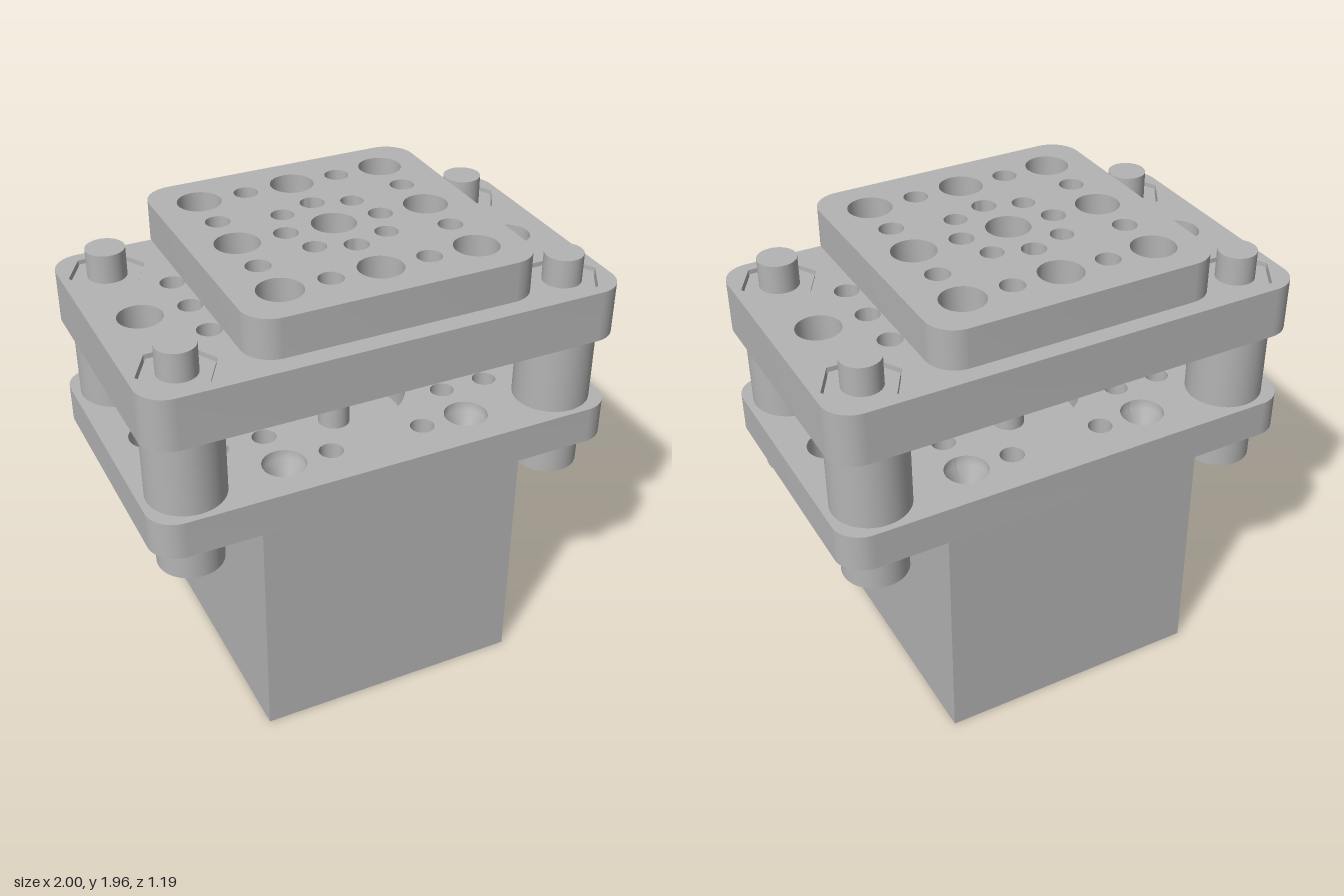
import * as THREE from 'three';
import { toCreasedNormals } from 'three/addons/utils/BufferGeometryUtils.js';

const SIGNS = [-1, 1];
const CORNERS = SIGNS.flatMap((sx) => SIGNS.map((sz) => [sx, sz]));

export function createModel() {
  const model = new THREE.Group();
  const grey = new THREE.MeshStandardMaterial({ color: 0xb4b4b4 });
  grey.name = 'machined grey';

  function add(name, geometry, x = 0, y = 0, z = 0) {
    const mesh = new THREE.Mesh(geometry, grey);
    mesh.name = name;
    mesh.position.set(x, y, z);
    model.add(mesh);
  }

  // Upright cylinder between two heights
  function rod(name, r, y0, y1, x = 0, z = 0) {
    add(name, new THREE.CylinderGeometry(r, r, y1 - y0, 40), x, (y0 + y1) / 2, z);
  }

  // Hole lists are [x, z, radius]
  function circle(x, z, r) {
    return new THREE.Path().absarc(x, z, r, 0, Math.PI * 2, true);
  }

  function hexagon(x, z, r) {
    const points = [];
    for (let i = 0; i < 6; i++) {
      const a = (-i * Math.PI) / 3;
      points.push(new THREE.Vector2(x + r * Math.cos(a), z + r * Math.sin(a)));
    }
    return new THREE.Path(points);
  }

  function roundedRect(w, d, r) {
    const s = new THREE.Shape();
    s.absarc(w - r, d - r, r, 0, Math.PI / 2);
    s.absarc(-w + r, d - r, r, Math.PI / 2, Math.PI);
    s.absarc(-w + r, -d + r, r, Math.PI, Math.PI * 1.5);
    s.absarc(w - r, -d + r, r, Math.PI * 1.5, Math.PI * 2);
    s.closePath();
    return s;
  }

  // Horizontal plate cut by circular holes and optional extra paths
  function plate(name, outline, y0, y1, holes, paths = []) {
    outline.holes.push(...holes.map((h) => circle(...h)), ...paths);
    const g = new THREE.ExtrudeGeometry(outline, { depth: y1 - y0, bevelEnabled: false, curveSegments: 16 });
    g.rotateX(-Math.PI / 2);
    add(name, toCreasedNormals(g, 0.6), 0, y0, 0);
  }

  // Hole patterns
  const cornerHoles = CORNERS.map(([sx, sz]) => [sx * 0.405, sz * 0.405, 0.09]);
  const endHoles = SIGNS.flatMap((s) => [
    [s * 0.81, 0, 0.09],
    ...[-0.203, 0, 0.203].map((z) => [s * 0.608, z, 0.05]),
  ]);
  const innerHoles = CORNERS.flatMap(([sx, sz]) => [
    [sx * 0.203, sz * 0.405, 0.05],
    [sx * 0.405, sz * 0.203, 0.05],
  ]);
  const smallRing = CORNERS.map(([sx, sz]) => [sx * 0.152, sz * 0.152, 0.047]);
  const crossHoles = SIGNS.flatMap((s) => [
    [s * 0.405, 0, 0.09], [0, s * 0.405, 0.09],
    [s * 0.203, 0, 0.05], [0, s * 0.203, 0.05],
  ]);

  // Motor and its shaft
  add('motorBody', new THREE.BoxGeometry(1.14, 1.03, 1.14), 0, 0.515, 0);
  rod('motorShaft', 0.067, 1.03, 1.76);

  // Lower plate with a pilot bore and countersunk mounting holes
  plate('lowerPlate', roundedRect(1, 0.593, 0.12), 1.03, 1.19,
    [[0, 0, 0.3], ...cornerHoles, ...endHoles, ...innerHoles]);
  const funnel = new THREE.LatheGeometry(
    [[0.09, 0.16], [0.088, 0.12], [0.05, 0.05], [0.05, 0.002]].map((p) => new THREE.Vector2(...p)), 32);
  // reversed triangles so that the funnel faces its own axis
  const index = funnel.index.array;
  const normals = funnel.attributes.normal;
  const edgeA = new THREE.Vector3().fromBufferAttribute(funnel.attributes.position, index[0]);
  const [b, c] = [1, 2].map((i) => new THREE.Vector3().fromBufferAttribute(funnel.attributes.position, index[i]));
  const face = b.clone().sub(edgeA).cross(c.clone().sub(edgeA));
  if (face.x * edgeA.x + face.z * edgeA.z > 0) {
    for (let i = 0; i < index.length; i += 3) [index[i], index[i + 1]] = [index[i + 1], index[i]];
  }
  funnel.computeVertexNormals();
  normals.needsUpdate = true;
  for (const [x, z] of cornerHoles) add('countersink', funnel, x, 1.03, z);

  // Upper plate with the bearing bore and hexagonal nut pockets
  const pockets = CORNERS.map(([sx, sz]) => hexagon(sx * 0.81, sz * 0.405, 0.158));
  plate('upperPlate', roundedRect(1, 0.593, 0.12), 1.515, 1.735,
    [[0, 0, 0.415], ...cornerHoles, ...endHoles], pockets);

  // Shaft coupler
  rod('shaftCoupler', 0.135, 1.255, 1.6);

  // Turning disc and the square table on it
  const disc = new THREE.Shape().absarc(0, 0, 0.395, 0, Math.PI * 2);
  plate('turningDisc', disc, 1.55, 1.79, [[0, 0, 0.09], ...smallRing]);
  plate('table', roundedRect(0.593, 0.593, 0.12), 1.79, 1.955,
    [[0, 0, 0.09], ...cornerHoles, ...crossHoles, ...innerHoles, ...smallRing]);

  // Corner fasteners: bolt, head, spacer and nut
  for (const [sx, sz] of CORNERS) {
    const x = sx * 0.81;
    const z = sz * 0.405;
    rod('boltHead', 0.135, 0.87, 1.03, x, z);
    rod('spacer', 0.16, 1.19, 1.515, x, z);
    rod('bolt', 0.08, 1.5, 1.84, x, z);
    const nut = new THREE.CylinderGeometry(0.15, 0.15, 0.2, 6).toNonIndexed();
    nut.rotateY(Math.PI / 6);
    nut.computeVertexNormals();
    add('nut', nut, x, 1.62, z);
  }

  return model;
}
